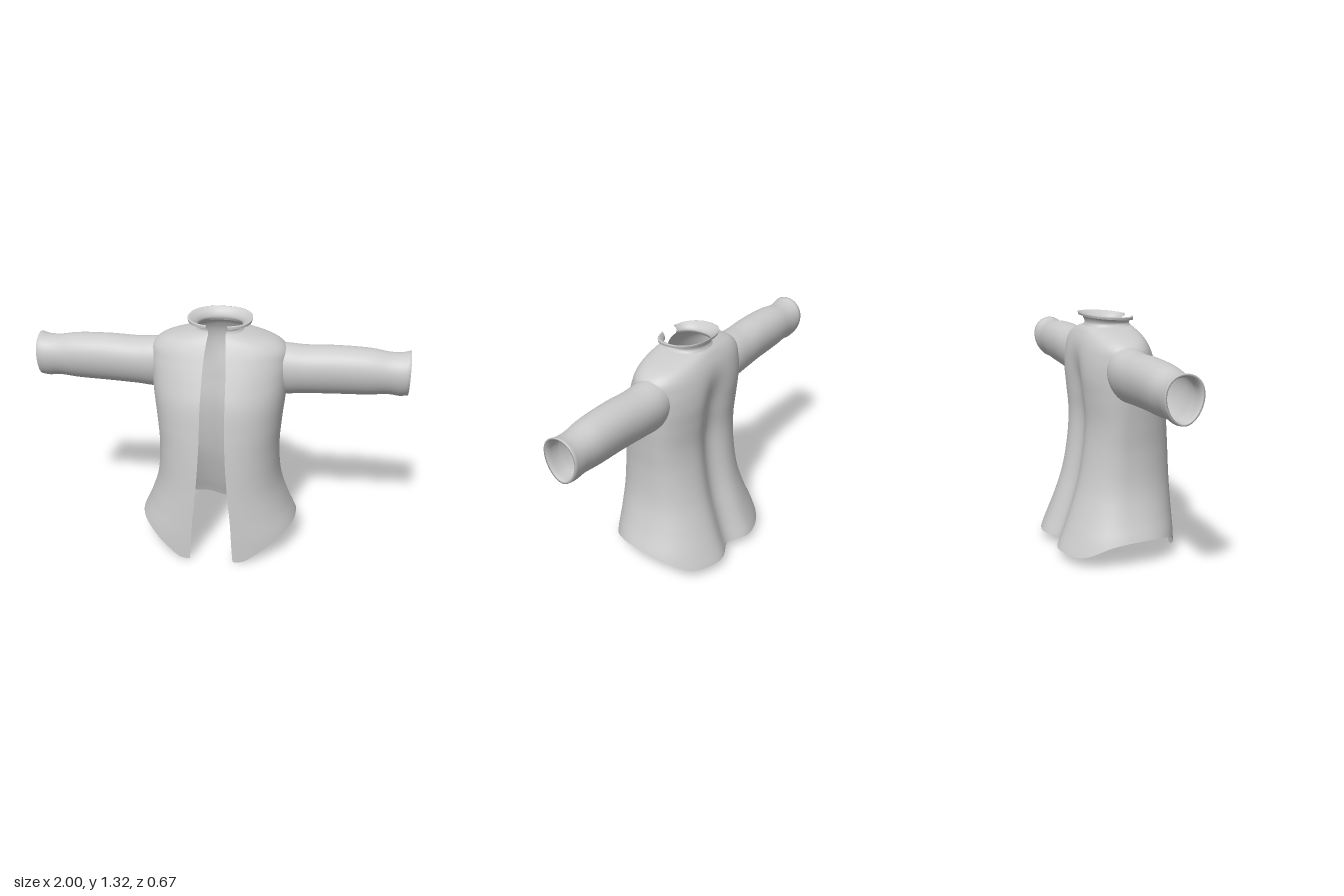
import * as THREE from 'three';

const material = new THREE.MeshStandardMaterial({ color: 0xcccccc, side: THREE.DoubleSide });

// Smooth lookup in a table of rows [key, value, value, ...]
function table(rows) {
  const size = rows[0].length - 1;
  const interp = new THREE.CubicInterpolant(
    rows.map(r => r[0]), rows.flatMap(r => r.slice(1)), size, new Float32Array(size));
  const lo = rows[0][0], hi = rows[rows.length - 1][0];
  return k => Array.from(interp.evaluate(THREE.MathUtils.clamp(k, lo, hi)));
}

// Surface from rows of points; "closed" joins each row into a ring, "skip" leaves cells open
function loft(name, rows, { closed = false, skip = () => false } = {}) {
  const n = rows[0].length, index = [];
  for (let j = 0; j < rows.length - 1; j++) {
    for (let i = 0; i < (closed ? n : n - 1); i++) {
      const k = (i + 1) % n;
      const mid = rows[j][i].clone().add(rows[j + 1][k]).multiplyScalar(0.5);
      if (skip(mid)) continue;
      const a = j * n + i, b = j * n + k, c = a + n, d = b + n;
      index.push(a, b, d, a, d, c);
    }
  }
  const geo = new THREE.BufferGeometry().setFromPoints(rows.flat());
  geo.setIndex(index);
  geo.computeVertexNormals();
  const mesh = new THREE.Mesh(geo, material);
  mesh.name = name;
  return mesh;
}

// Point on a rounded section; angle 0 is the front, PI the back
function section(angle, y, w, front, back, power) {
  const s = Math.sin(angle), c = Math.cos(angle);
  const x = Math.sign(s) * w * Math.abs(s) ** power;
  const z = (c > 0 ? front : back) * Math.abs(c) ** power;
  return new THREE.Vector3(x, y, z);
}

// Angles round the body, from one edge of the front opening to the other
const sweep = (u, gap, w, power) => {
  const start = Math.asin((gap / w) ** (1 / power));
  return start + u * (2 * Math.PI - 2 * start);
};

// y, half width, front z, back z, half opening
const bodyAt = table([
  [0.00, 0.47, 0.337, -0.372, 0.120],
  [0.06, 0.463, 0.337, -0.355, 0.115],
  [0.14, 0.443, 0.337, -0.322, 0.110],
  [0.25, 0.395, 0.336, -0.282, 0.103],
  [0.40, 0.347, 0.332, -0.235, 0.088],
  [0.60, 0.332, 0.322, -0.196, 0.073],
  [0.75, 0.342, 0.308, -0.183, 0.067],
  [0.90, 0.358, 0.284, -0.194, 0.065],
  [1.00, 0.366, 0.248, -0.202, 0.063],
  [1.10, 0.368, 0.206, -0.194, 0.060],
  [1.17, 0.350, 0.174, -0.176, 0.055],
  [1.21, 0.290, 0.152, -0.158, 0.050],
  [1.235, 0.200, 0.134, -0.142, 0.047],
  [1.25, 0.128, 0.120, -0.126, 0.045],
]);

// Hem height by angle: long front points, high sides, lower back
const hemAt = table([
  [0, 0.02], [0.3, 0.0], [0.5, 0.045], [0.84, 0.115], [1.36, 0.152],
  [1.9, 0.135], [2.4, 0.062], [2.75, 0.055], [3.15, 0.062],
]);

function body() {
  const rows = [], levels = 80, around = 120, top = 1.25, power = 0.87;
  for (let j = 0; j <= levels; j++) {
    const t = 1 - (1 - j / levels) ** 1.7, row = [];
    for (let i = 0; i <= around; i++) {
      const u = i / around;
      const rough = sweep(u, 0.11, 0.45, power);
      const hem = hemAt(Math.min(rough, 2 * Math.PI - rough))[0];
      const y = hem + t * (top - hem);
      const [w, front, back, gap] = bodyAt(y);
      const p = section(sweep(u, gap, w, power), y, w, front, back, power);
      // Hollow along the spine
      if (p.z < 0) {
        const fade = THREE.MathUtils.smoothstep(1.2 - y, 0, 0.25);
        p.z += fade * (0.035 + 0.03 * (1 - t)) * Math.exp(-((p.x / 0.09) ** 2));
      }
      row.push(p);
    }
    rows.push(row);
  }
  // Armholes
  const skip = p => Math.abs(p.x) > 0.2 &&
    ((p.y - 1.037) / 0.122) ** 2 + ((p.z + 0.013) / 0.102) ** 2 < 1;
  return loft('jacketBody', rows, { skip });
}

// Collar flares outward, higher at the back, then rolls over at its rim
function collar() {
  const at = table([
    // s, front y, back y, half width, front z, back z
    [0.0, 1.248, 1.248, 0.128, 0.120, -0.126],
    [0.3, 1.264, 1.268, 0.118, 0.114, -0.119],
    [0.6, 1.282, 1.294, 0.132, 0.117, -0.128],
    [0.85, 1.298, 1.315, 0.163, 0.124, -0.146],
    [1.0, 1.294, 1.318, 0.172, 0.128, -0.152],
    [1.15, 1.280, 1.304, 0.169, 0.128, -0.148],
  ]);
  const rows = [];
  for (let j = 0; j <= 20; j++) {
    const [yf, yb, w, front, back] = at(j / 20 * 1.15), row = [];
    for (let i = 0; i <= 80; i++) {
      const a = sweep(i / 80, 0.045 + 0.012 * j / 20, w, 0.87);
      const y = THREE.MathUtils.lerp(yf, yb, (1 - Math.cos(a)) / 2);
      row.push(section(a, y, w, front, back, 0.87));
    }
    rows.push(row);
  }
  return loft('collar', rows);
}

// Sleeve: egg-shaped rings, narrower below, with a small turned-in cuff
function sleeve(side) {
  const at = table([
    // x, top, bottom, front z, back z
    [0.27, 1.168, 0.912, 0.090, -0.118],
    [0.34, 1.174, 0.895, 0.102, -0.130],
    [0.45, 1.168, 0.902, 0.100, -0.130],
    [0.60, 1.174, 0.910, 0.100, -0.125],
    [0.80, 1.168, 0.917, 0.094, -0.121],
    [0.90, 1.153, 0.925, 0.085, -0.115],
    [0.96, 1.155, 0.919, 0.087, -0.117],
    [1.00, 1.166, 0.925, 0.088, -0.118],
  ]);
  const ring = (x, inset) => {
    const [top, bottom, front, back] = at(x), points = [];
    const ry = (top - bottom) / 2 - inset, rz = (front - back) / 2 - inset;
    for (let i = 0; i < 40; i++) {
      const a = i / 40 * 2 * Math.PI * side;
      const egg = 1 + 0.13 * Math.sin(a) - 0.05;
      points.push(new THREE.Vector3(side * x, (top + bottom) / 2 + ry * Math.sin(a),
        (front + back) / 2 + rz * Math.cos(a) * egg));
    }
    return points;
  };
  const rows = [];
  for (let j = 0; j <= 44; j++) rows.push(ring(0.27 + 0.73 * j / 44, 0));
  rows.push(ring(0.998, 0.01), ring(0.97, 0.014), ring(0.92, 0.012));
  return loft(side > 0 ? 'leftSleeve' : 'rightSleeve', rows, { closed: true });
}

export function createModel() {
  const jacket = new THREE.Group();
  jacket.name = 'jacket';
  jacket.add(body(), collar(), sleeve(1), sleeve(-1));
  return jacket;
}
